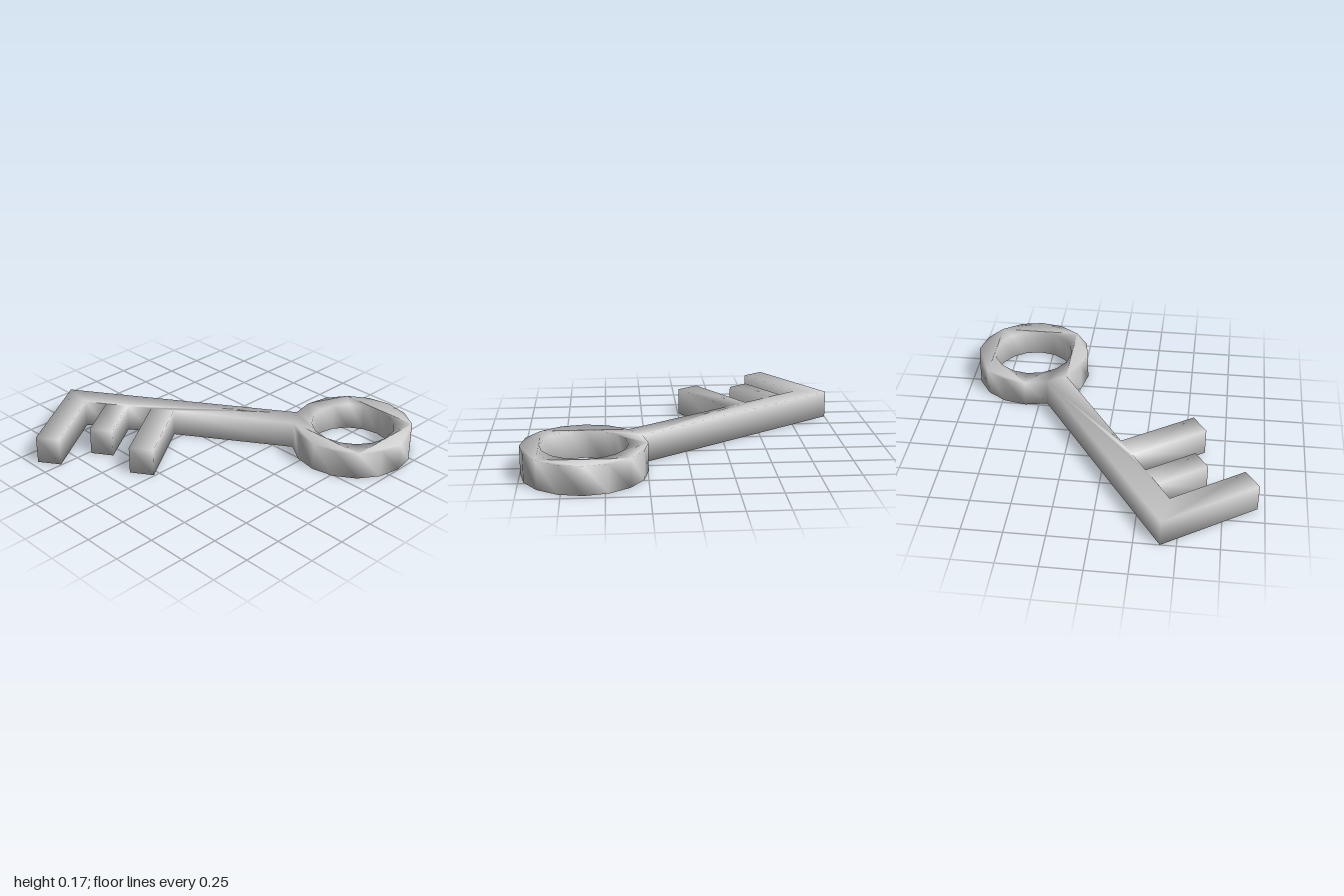
import * as THREE from 'three';
import { mergeVertices } from 'three/addons/utils/BufferGeometryUtils.js';

const THICKNESS = 0.175;
const SIDES = 16;
const BOW = new THREE.Vector2(0.621, 0.591);   // centre of the ring, in plan
const TIP = new THREE.Vector2(-1, -0.406);     // outer corner of the shaft end
const ALONG = new THREE.Vector2(0.831, 0.556); // from the tip to the ring
const ACROSS = new THREE.Vector2(0.556, -0.831); // the way the teeth point
const SHAFT_WIDTH = 0.145;

// Point on the ring at corner i of its polygon
function ringPoint(radius, i) {
  const a = (i / SIDES) * Math.PI * 2;
  return new THREE.Vector2(BOW.x + radius * Math.cos(a), BOW.y + radius * Math.sin(a));
}

// Point given by distances along and across the shaft
function shaftPoint(s, t) {
  return TIP.clone().addScaledVector(ALONG, s).addScaledVector(ACROSS, t);
}

function keyOutline() {
  const points = [];
  // Ring, from the lower side of the shaft round to its upper side
  for (let i = 10; i <= 9 + SIDES; i++) points.push(ringPoint(0.376, i));
  // Shaft end, then the teeth: start, width, reach
  const teeth = [[0, 0.151, 0.663], [0.293, 0.145, 0.49], [0.598, 0.153, 0.664]];
  for (const [start, width, reach] of teeth) {
    points.push(
      shaftPoint(start, start === 0 ? 0 : SHAFT_WIDTH),
      shaftPoint(start, reach),
      shaftPoint(start + width, reach),
      shaftPoint(start + width, SHAFT_WIDTH)
    );
  }
  const shape = new THREE.Shape(points);
  // Hole of the ring
  const hole = [];
  for (let i = 0; i < SIDES; i++) hole.push(ringPoint(0.26, -i));
  shape.holes.push(new THREE.Path(hole));
  return shape;
}

export function createModel() {
  const group = new THREE.Group();
  group.name = 'key';

  // One continuous solid, laid flat, with normals shared over every edge
  let geometry = new THREE.ExtrudeGeometry(keyOutline(), { depth: THICKNESS, bevelEnabled: false });
  geometry.rotateX(-Math.PI / 2);
  geometry.deleteAttribute('uv');
  geometry.deleteAttribute('normal');
  geometry = mergeVertices(geometry, 1e-4);
  geometry.computeVertexNormals();

  const body = new THREE.Mesh(geometry, new THREE.MeshStandardMaterial({ color: 0xcccccc }));
  body.name = 'ringShaftAndTeeth';
  group.add(body);
  return group;
}
